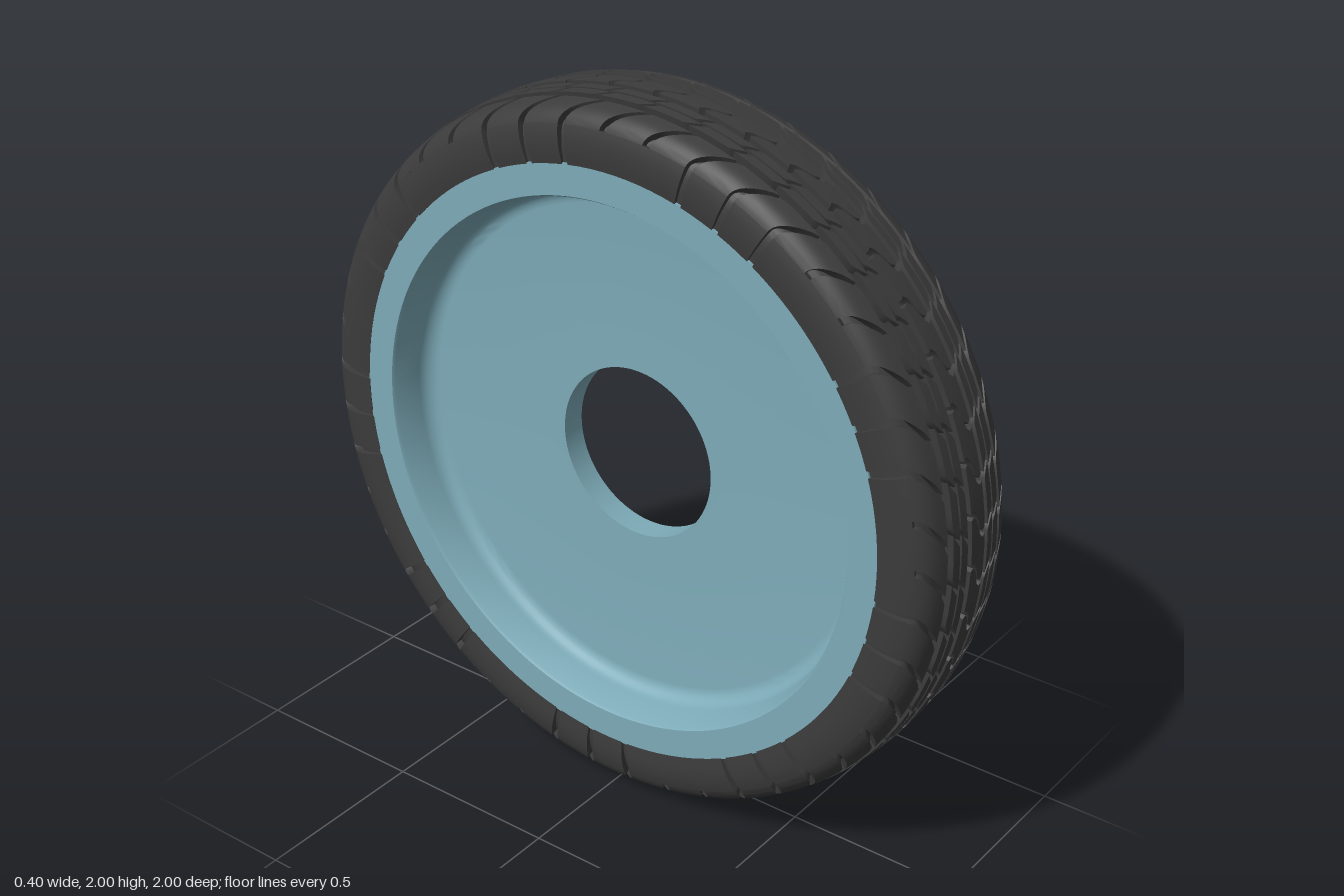
import * as THREE from 'three';
import { mergeGeometries, toCreasedNormals } from 'three/addons/utils/BufferGeometryUtils.js';

const PITCHES = 45;                       // tread pitches around the wheel
const STEP = (Math.PI * 2) / PITCHES;

// Half cross-section of the tyre (x, radius), centre line to bead; s counts along its points
const section = new THREE.SplineCurve([
  [0, 1], [0.03, 0.9995], [0.047, 0.998], [0.104, 0.992], [0.122, 0.987],
  [0.16, 0.974], [0.185, 0.95], [0.197, 0.915], [0.2, 0.875], [0.196, 0.835],
].map(([x, r]) => new THREE.Vector2(x, r)));
const S_END = 9;

// Point of the section at s (negative s is the mirrored half), sunk by a depth
function sectionPoint(s, depth) {
  const t = Math.min(Math.abs(s) / S_END, 1), side = Math.sign(s) || 1;
  const p = section.getPoint(t), d = section.getTangent(t);
  return [side * (p.x + d.y * depth), p.y - d.x * depth];
}
const grooveDepth = (s) => (Math.abs(s) < 5 ? 0.026 : THREE.MathUtils.mapLinear(Math.abs(s), 5, S_END, 0.026, 0.007));

// Raised block between s0..s1 and angles a0..a1, skewed by offset(s), with walls down into the grooves
function block(s0, s1, a0, a1, offset, rows, cols) {
  const pos = [], index = [], w = cols + 3;
  for (let i = -1; i <= rows + 1; i++) {
    for (let j = -1; j <= cols + 1; j++) {
      const u = THREE.MathUtils.clamp(i / rows, 0, 1), v = THREE.MathUtils.clamp(j / cols, 0, 1);
      const wall = i < 0 || j < 0 || i > rows || j > cols;
      const s = s0 + (s1 - s0) * u;
      const [x, r] = sectionPoint(s, wall ? grooveDepth(s) + 0.002 : 0);
      const a = a0 + (a1 - a0) * v + offset(s);
      pos.push(x, r * Math.cos(a), r * Math.sin(a));
    }
  }
  for (let i = 0; i < rows + 2; i++) {
    for (let j = 0; j < cols + 2; j++) {
      if ((i === 0 || i === rows + 1) && (j === 0 || j === cols + 1)) continue;
      const a = i * w + j, b = a + 1, c = a + w, d = c + 1;
      index.push(a, b, c, b, d, c);
    }
  }
  const g = new THREE.BufferGeometry();
  g.setAttribute('position', new THREE.Float32BufferAttribute(pos, 3));
  g.setIndex(index);
  return toCreasedNormals(g, 0.7);
}

// Ring of equal blocks
function blockRing(s0, s1, shift, gap, offset, rows) {
  const parts = [];
  for (let k = 0; k < PITCHES; k++) {
    const a = (k + shift) * STEP;
    parts.push(block(s0, s1, a + gap, a + STEP - gap, offset, rows, 3));
  }
  return mergeGeometries(parts);
}

// Lathe around the x axis from (radius, x) points
function latheX(points, segments) {
  const g = new THREE.LatheGeometry(points.map(([r, x]) => new THREE.Vector2(r, x)), segments);
  g.deleteAttribute('normal');
  g.deleteAttribute('uv');
  return toCreasedNormals(g.rotateZ(-Math.PI / 2), 0.5);
}

// Dish wall from the floor to the rim face: a fillet, then a slightly flared wall
function dishWall(floorX, faceX) {
  const dir = Math.sign(faceX - floorX), R = 0.045, pts = [];
  for (let i = 0; i <= 6; i++) {
    const a = (i / 6) * Math.PI * 0.46;
    pts.push([0.692 + R * Math.sin(a), floorX + dir * R * (1 - Math.cos(a))]);
  }
  pts.push([0.747, faceX - dir * 0.008], [0.752, faceX]);
  return pts;
}

export function createModel() {
  const wheel = new THREE.Group();
  wheel.name = 'wheel';
  const rubber = new THREE.MeshStandardMaterial({ color: 0x3b3b3b });
  const paint = new THREE.MeshStandardMaterial({ color: 0x7dabb8 });
  const add = (name, geometry, material) => {
    const mesh = new THREE.Mesh(geometry, material);
    mesh.name = name;
    wheel.add(mesh);
  };

  // Rim with an off-centre web, dished on both sides, and a round bore
  const face = 0.195, webLeft = 0.01, webRight = -0.062;
  add('rim', latheX([
    [0.243, webLeft], [0.243, webRight],
    ...dishWall(webRight, -face),
    [0.838, -face], [0.838, face],
    ...dishWall(webLeft, face).reverse(),
    [0.243, webLeft],
  ], 128), paint);

  // Tyre carcass forming the groove floors
  const floor = [];
  for (let i = -36; i <= 36; i++) {
    const s = (i / 36) * S_END;
    const [x, r] = sectionPoint(s, grooveDepth(s));
    floor.push([r, x]);
  }
  add('carcass', latheX(floor, 135), rubber);

  // Centre rib with S-shaped cross grooves
  add('centreRib', blockRing(-1, 1, 0.5, 0.009, (s) => 0.035 * Math.sin(s * 2.2), 6), rubber);

  for (const side of [1, -1]) {
    const label = side > 0 ? 'left' : 'right';
    const range = (a, b) => (side > 0 ? [a, b] : [-b, -a]);

    // Intermediate rib: two rows of slanted blocks beside a narrow sipe
    const slant = (s) => 0.085 * (3 - Math.abs(s));
    add(label + 'InnerRib', blockRing(...range(2, 2.44), 0.1, 0.009, slant, 3), rubber);
    add(label + 'OuterRib', blockRing(...range(2.54, 3), 0.35, 0.009, slant, 3), rubber);

    // Shoulder blocks with grooves that bend from slanted to radial
    const bend = (s) => 0.016 * Math.max(0, 6.4 - Math.abs(s)) ** 2;
    add(label + 'Shoulder', blockRing(...range(4, 6.4), 0, 0.011, bend, 10), rubber);

    // Sidewall panels: three long slots in every five pitches
    const panels = [];
    for (let k = 0; k < PITCHES; k += 5) {
      for (const [from, to] of [[2, 3], [3, 4], [4, 7]]) {
        panels.push(block(...range(6.4, S_END), (k + from) * STEP + 0.011, (k + to) * STEP - 0.011,
          () => 0, 8, 3 * (to - from)));
      }
    }
    add(label + 'Sidewall', mergeGeometries(panels), rubber);
  }
  return wheel.translateY(1);
}
